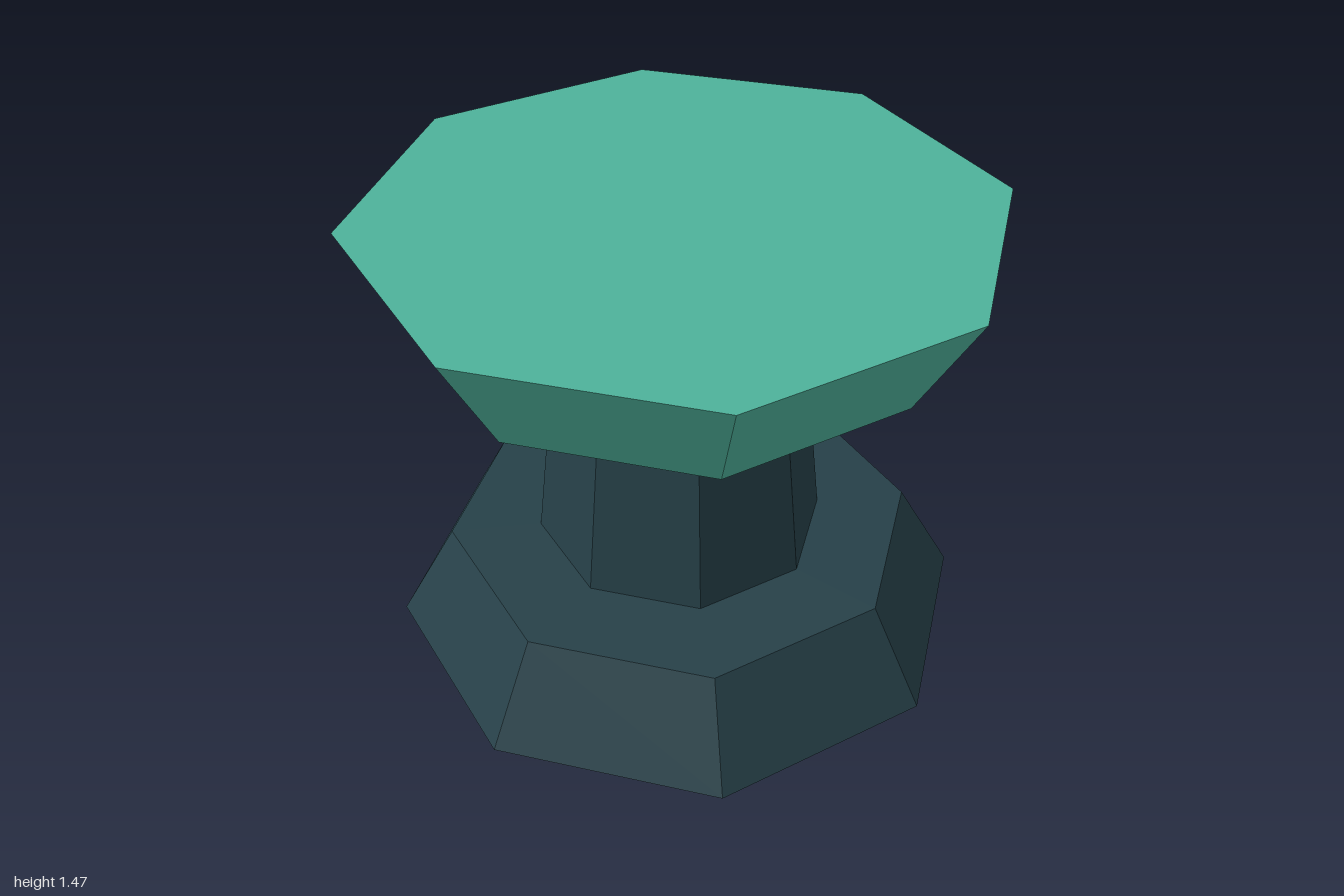
import * as THREE from 'three';

const SIDES = 8;

export function createModel() {
  const group = new THREE.Group();

  const material = (name, color) => {
    const m = new THREE.MeshStandardMaterial({ color, flatShading: true, side: THREE.DoubleSide });
    m.name = name;
    return m;
  };
  const green = material('green', 0x4eb29b);
  const slate = material('darkSlate', 0x264048);

  // Eight-sided shell turned from a [radius, height] profile, listed bottom to top
  const addShell = (name, profile, mat) => {
    const points = profile.map(([r, y]) => new THREE.Vector2(r, y));
    const mesh = new THREE.Mesh(new THREE.LatheGeometry(points, SIDES), mat);
    mesh.name = name;
    group.add(mesh);
  };

  // Foot: tapered skirt closed on top, hollow underneath
  addShell('base', [[0.95, 0], [0.765, 0.323], [0, 0.323]], slate);

  // Column: narrows slightly towards the seat
  addShell('column', [[0.47, 0.323], [0.382, 1.12]], slate);

  // Seat: flares outward to a flat top, hollow underneath
  addShell('seat', [[0.808, 1.12], [1, 1.473], [0, 1.473]], green);

  return group;
}
